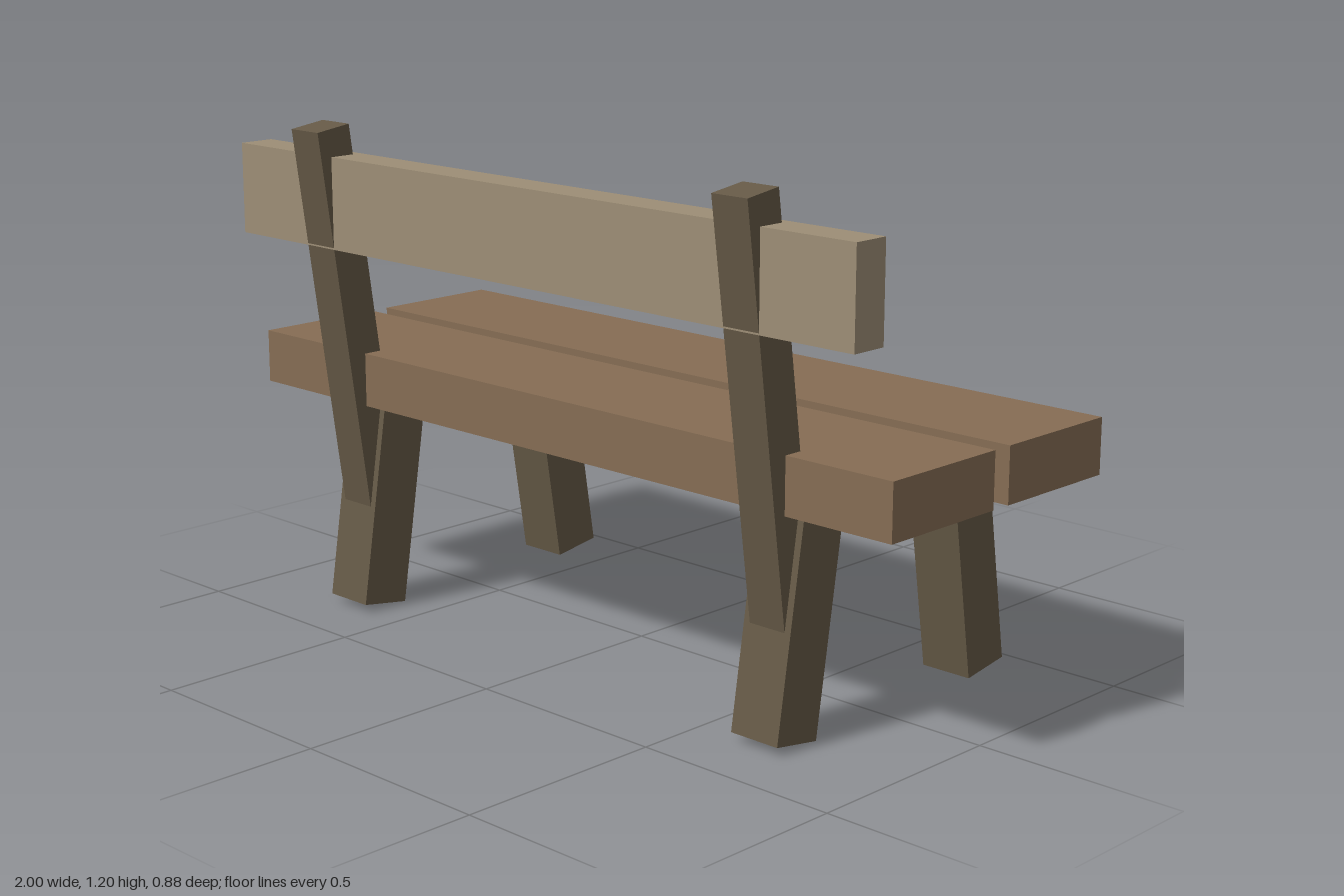
import * as THREE from 'three';

const seatWood = new THREE.MeshStandardMaterial({ color: 0x866d54 });
const backWood = new THREE.MeshStandardMaterial({ color: 0x9d8e76 });
const darkWood = new THREE.MeshStandardMaterial({ color: 0x665a47 });

// Level board given by its extents in y and z
function board(name, length, y0, y1, z0, z1, material) {
  const mesh = new THREE.Mesh(new THREE.BoxGeometry(length, y1 - y0, z1 - z0), material);
  mesh.name = name;
  mesh.position.set(0, (y0 + y1) / 2, (z0 + z1) / 2);
  return mesh;
}

// Square beam standing on its bottom centre, tilted towards +z by the given angle
function beam(name, width, depth, length, x, y, z, tilt) {
  const geometry = new THREE.BoxGeometry(width, length, depth).translate(0, length / 2, 0);
  const mesh = new THREE.Mesh(geometry, darkWood);
  mesh.name = name;
  mesh.position.set(x, y, z);
  mesh.rotation.x = tilt;
  return mesh;
}

export function createModel() {
  const bench = new THREE.Group();
  bench.name = 'bench';

  // Two seat planks with a gap, and the backrest board
  bench.add(
    board('seatPlankBack', 2, 0.515, 0.645, -0.02, 0.315, seatWood),
    board('seatPlankFront', 2, 0.515, 0.645, -0.405, -0.071, seatWood),
    board('backrestBoard', 1.93, 0.91, 1.13, 0.312, 0.401, backWood)
  );

  // Splayed legs and leaning backrest posts on both sides
  for (const [side, s] of [['left', 1], ['right', -1]]) {
    const x = 0.67 * s;
    bench.add(
      beam(side + 'LegBack', 0.13, 0.127, 0.57, x, 0.011, 0.285, -0.155),
      beam(side + 'LegFront', 0.13, 0.127, 0.57, x, 0.011, -0.375, 0.155),
      beam(side + 'BackrestPost', 0.097, 0.094, 0.944, x, 0.262, 0.263, 0.138)
    );
  }
  return bench;
}
